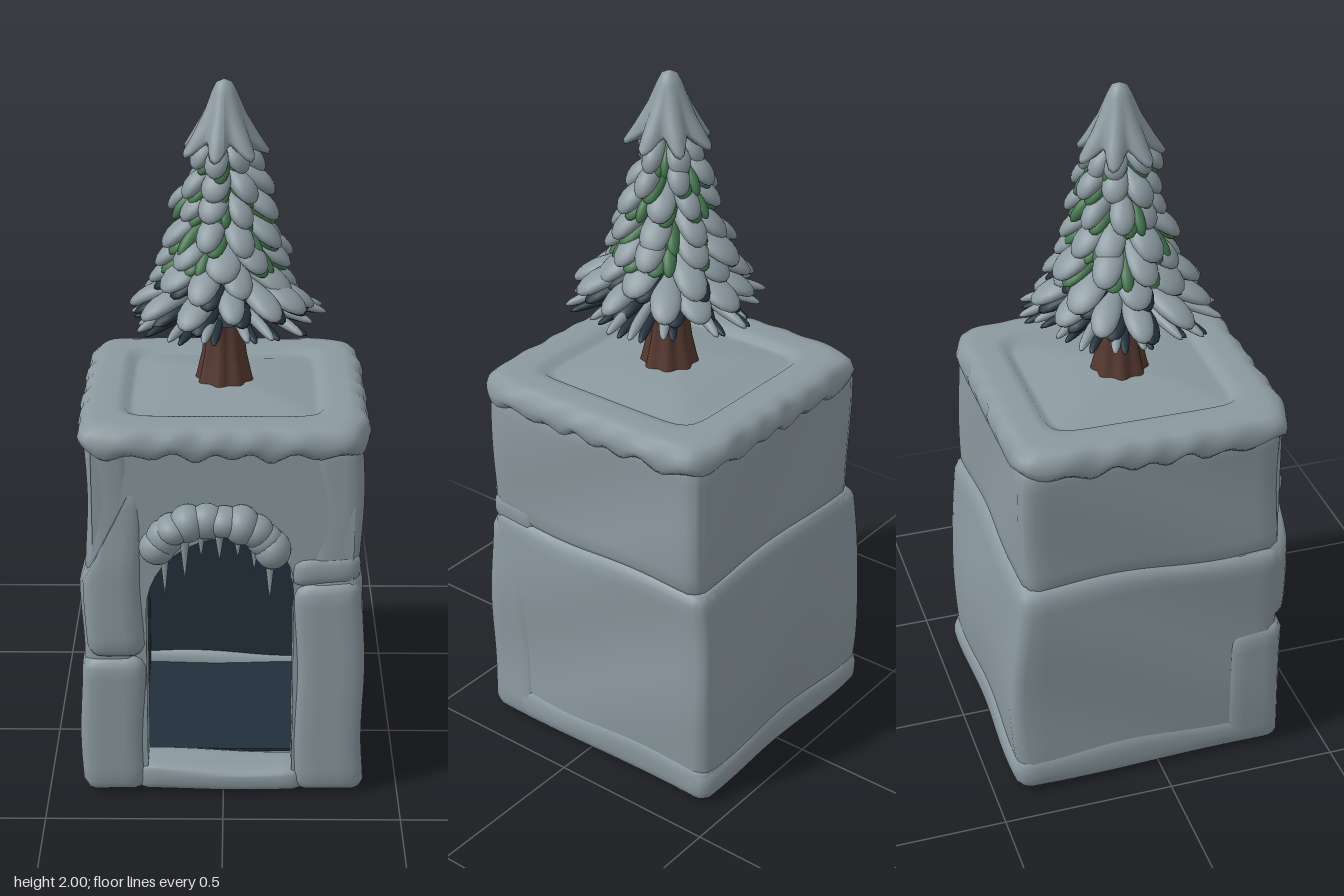
import * as THREE from 'three';
import { mergeVertices } from 'three/addons/utils/BufferGeometryUtils.js';

const material = (name, color, side = THREE.FrontSide) =>
  Object.assign(new THREE.MeshStandardMaterial({ color, side }), { name });

export function createModel() {
  const snow = material('snowy grey', 0x8b999f);
  const snowSheet = material('snow sheet grey', 0x8b999f, THREE.DoubleSide);
  const dark = material('dark hollow', 0x22303b);
  const green = material('needle green', 0x44754f);
  const bark = material('bark brown', 0x553830);

  const model = new THREE.Group();
  model.name = 'snowyTreePedestal';
  const add = (name, geometry, mat, parent = model) => {
    const mesh = new THREE.Mesh(geometry, mat);
    mesh.name = name;
    parent.add(mesh);
    return mesh;
  };
  let seed = 11;
  const rand = () => (seed = (seed * 16807) % 2147483647) / 2147483647;
  const spread = (a) => (rand() - 0.5) * 2 * a;

  // Soft, slightly lumpy block between two corners
  function stone(name, x0, x1, y0, y1, z0, z1, radius = 0.04, warp) {
    const w = x1 - x0, h = y1 - y0, d = z1 - z0;
    const n = (s) => Math.max(6, Math.round(s / 0.035));
    let g = new THREE.BoxGeometry(w, h, d, n(w), n(h), n(d));
    g.deleteAttribute('normal');
    g.deleteAttribute('uv');
    g = mergeVertices(g);
    const p = g.attributes.position;
    const v = new THREE.Vector3(), c = new THREE.Vector3();
    const inner = new THREE.Vector3(w / 2 - radius, h / 2 - radius, d / 2 - radius);
    for (let i = 0; i < p.count; i++) {
      v.fromBufferAttribute(p, i);
      c.copy(v).clamp(inner.clone().negate(), inner);
      v.sub(c).setLength(radius).add(c);
      v.add(new THREE.Vector3((x0 + x1) / 2, (y0 + y1) / 2, (z0 + z1) / 2));
      const { x, y, z } = v;
      v.x += 0.005 * Math.sin(y * 13 + z * 7);
      v.y += y > 0.06 ? 0.008 * Math.sin(x * 9 + z * 11) : 0;
      v.z += 0.005 * Math.sin(x * 11 + y * 8 + 1);
      if (warp) warp(v);
      p.setXYZ(i, v.x, v.y, v.z);
    }
    g.computeVertexNormals();
    return add(name, g, snow);
  }

  // Side and back walls in two courses, the lower one bulging
  const backBulge = (v) => { if (v.z < -0.36) v.z -= 0.028 * Math.sin(Math.min(1, v.y / 0.66) * Math.PI); };
  stone('lowerRightWall', 0.235, 0.392, 0.01, 0.70, -0.41, 0.36, 0.04, backBulge);
  stone('upperRightWall', 0.235, 0.382, 0.67, 1.10, -0.388, 0.36);
  stone('lowerLeftWall', -0.395, -0.245, 0.01, 0.70, -0.41, 0.36, 0.04, backBulge);
  stone('upperLeftWall', -0.378, -0.245, 0.67, 1.10, -0.388, 0.36);
  stone('lowerBackWall', -0.385, 0.385, 0.01, 0.70, -0.41, -0.31, 0.04, backBulge);
  stone('upperBackWall', -0.37, 0.375, 0.67, 1.10, -0.392, -0.31);

  // Foot ledge around the bottom
  stone('backFoot', -0.4, 0.4, 0, 0.12, -0.435, -0.28, 0.045);
  for (const s of [-1, 1]) {
    stone('sideFoot', s > 0 ? 0.26 : -0.402, s > 0 ? 0.4 : -0.26, 0, 0.13, -0.43, 0.37, 0.045);
  }
  stone('doorSill', -0.25, 0.23, 0.005, 0.085, 0.24, 0.37, 0.03);

  // Front wall with an arched doorway
  const wall = new THREE.Shape();
  wall.moveTo(-0.36, 0.03).lineTo(0.36, 0.03).lineTo(0.36, 1.08).lineTo(-0.36, 1.08).closePath();
  const door = new THREE.Path();
  door.moveTo(-0.215, 0.06).lineTo(-0.215, 0.58);
  door.bezierCurveTo(-0.21, 0.85, 0.195, 0.88, 0.195, 0.66);
  door.lineTo(0.195, 0.06).closePath();
  wall.holes.push(door);
  const front = new THREE.ExtrudeGeometry(wall, { depth: 0.12, bevelEnabled: false, curveSegments: 20 });
  add('frontWall', front.translate(0, 0, 0.235), snow);

  // Jamb stones beside the doorway
  stone('leftLowerJamb', -0.403, -0.22, 0.005, 0.435, 0.2, 0.378, 0.04);
  stone('leftUpperJamb', -0.386, -0.222, 0.43, 0.95, 0.2, 0.385, 0.045, (v) => {
    if (v.y > 0.68) v.x = Math.max(v.x, -0.386 + (v.y - 0.68) * 0.5);
    if (v.z > 0.3) v.z -= Math.max(0, v.y - 0.72) * 0.1;
  });
  stone('rightLowerJamb', 0.198, 0.402, 0.005, 0.67, 0.2, 0.376, 0.04, (v) => {
    if (v.x > 0.3) v.x -= 0.02 * v.y;
  });
  stone('rightUpperJamb', 0.19, 0.385, 0.655, 0.75, 0.2, 0.366, 0.035);

  // Dark hollow inside, open towards the door
  const hollow = new THREE.Group();
  hollow.name = 'hollow';
  model.add(hollow);
  for (const [w, h, d, x, y, z] of [
    [0.008, 0.9, 0.54, -0.238, 0.52, -0.035], [0.008, 0.9, 0.54, 0.225, 0.52, -0.035],
    [0.47, 0.9, 0.008, -0.005, 0.52, -0.3], [0.47, 0.008, 0.56, -0.005, 0.078, -0.03],
    [0.47, 0.008, 0.54, -0.005, 0.96, -0.035],
  ]) add('hollowPanel', new THREE.BoxGeometry(w, h, d).translate(x, y, z), dark, hollow);

  // Recessed base plate, with a dark gap around it
  add('basePlate', new THREE.BoxGeometry(0.44, 0.03, 0.46).translate(0, 0.055, -0.03), snow);
  const spot = add('baseHole', new THREE.CircleGeometry(0.03, 16).rotateX(Math.PI / 2), dark);
  spot.scale.z = 1.8;
  spot.position.set(0.03, 0.038, 0.06);

  // Snow cap: rounded-square rings with a scalloped hem and a sunken middle
  const rings = [[0.36, 1.07, 1], [0.385, 1.05, 1], [0.398, 1.063, 0.9], [0.401, 1.085, 0.4], [0.395, 1.112, 0],
    [0.378, 1.129, 0], [0.35, 1.135, 0], [0.30, 1.135, 0], [0.278, 1.131, 0], [0.266, 1.118, 0],
    [0.25, 1.116, 0], [0.2, 1.128, 0], [0.1, 1.142, 0], [0.001, 1.145, 0]];
  const N = 144, pos = [], index = [];
  rings.forEach(([r, y, wave], j) => {
    for (let i = 0; i < N; i++) {
      const a = (i / N) * Math.PI * 2, c = Math.cos(a), s = Math.sin(a);
      const k = r / Math.pow(Math.abs(c) ** 9 + Math.abs(s) ** 9, 1 / 9);
      const ripple = Math.sin(a * 24) + 0.5 * Math.sin(a * 13 + 1);
      const out = 1 + 0.008 * ripple * (j > 0 && j < 6 ? 1 : 0);
      pos.push(k * c * out, y + wave * 0.011 * ripple, k * s * out - 0.005);
      if (j) {
        const b = j * N + i, b2 = j * N + ((i + 1) % N);
        index.push(b - N, b, b2 - N, b, b2, b2 - N);
      }
    }
  });
  const cap = new THREE.BufferGeometry();
  cap.setAttribute('position', new THREE.Float32BufferAttribute(pos, 3));
  cap.setIndex(index);
  cap.computeVertexNormals();
  add('snowCap', cap, snowSheet);

  // Snow hood over the door, with icicles
  const hood = new THREE.Group();
  hood.name = 'snowHood';
  model.add(hood);
  const arch = new THREE.CatmullRomCurve3([[-0.18, 0.79], [-0.13, 0.85], [-0.02, 0.868], [0.08, 0.845], [0.135, 0.785]]
    .map(([x, y]) => new THREE.Vector3(x, y, 0.385)));
  for (let i = 0; i <= 9; i++) {
    const lump = add('hoodLump', new THREE.SphereGeometry(0.054, 20, 14), snow, hood);
    lump.position.copy(arch.getPoint(i / 9));
    lump.scale.set(0.95, 0.9 + 0.12 * Math.sin(i * 2.3), 1 + 0.12 * Math.sin(i * 1.7 + 4));
  }
  for (const [x, top, tip, r] of [[-0.16, 0.8, 0.64, 0.016], [-0.105, 0.84, 0.69, 0.017], [-0.06, 0.84, 0.76, 0.013],
    [-0.01, 0.85, 0.75, 0.016], [0.04, 0.83, 0.76, 0.013], [0.085, 0.82, 0.72, 0.015], [0.128, 0.79, 0.63, 0.018]]) {
    const cone = new THREE.ConeGeometry(r, top - tip, 10).rotateX(Math.PI);
    add('icicle', cone.translate(x, (top + tip) / 2, 0.395), snow, hood);
  }

  // Trunk with flared, ribbed roots
  const trunk = new THREE.LatheGeometry([[0.085, 1.11], [0.073, 1.16], [0.06, 1.22], [0.05, 1.3], [0.045, 1.42]]
    .map(([r, y]) => new THREE.Vector2(r, y)), 48);
  const tp = trunk.attributes.position;
  for (let i = 0; i < tp.count; i++) {
    const k = 1 + 0.08 * Math.sin(Math.atan2(tp.getZ(i), tp.getX(i)) * 8);
    tp.setXYZ(i, tp.getX(i) * k, tp.getY(i), tp.getZ(i) * k);
  }
  trunk.computeVertexNormals();
  add('trunk', trunk, bark);

  // Tree core hidden between the boughs
  const tree = new THREE.Group();
  tree.name = 'tree';
  model.add(tree);
  add('treeCore', new THREE.ConeGeometry(0.13, 0.5, 20).translate(0, 1.64, 0), green, tree);
  add('treeUnderside', new THREE.CylinderGeometry(0.1, 0.17, 0.05, 20).translate(0, 1.375, 0), dark, tree);

  // Bough: a drooping petal reaching out to radius r
  const petal = new THREE.SphereGeometry(1, 18, 12);
  const pp = petal.attributes.position;
  for (let i = 0; i < pp.count; i++) {
    const x = pp.getX(i);
    pp.setXYZ(i, x, pp.getY(i) - 0.5 * x * Math.abs(x), pp.getZ(i) * (0.85 + 0.2 * x));
  }
  petal.computeVertexNormals();
  function bough(name, mat, angle, r, y, len, width, thick, droop) {
    const arm = new THREE.Group();
    arm.rotation.y = angle;
    tree.add(arm);
    const mesh = add(name, petal, mat, arm);
    mesh.scale.set(len / 2, thick / 2, width / 2);
    mesh.position.set(r - len * 0.46, y, 0);
    mesh.rotation.z = -droop;
  }

  // Tiers: count, reach, height, length, width, droop, under-bough material
  const tiers = [
    [12, 0.255, 1.415, 0.2, 0.1, 0.3, dark], [9, 0.215, 1.475, 0.19, 0.11, 0.42, dark],
    [9, 0.195, 1.535, 0.17, 0.1, 0.45, green], [8, 0.175, 1.6, 0.16, 0.095, 0.5, green],
    [8, 0.15, 1.665, 0.14, 0.085, 0.5, green], [7, 0.13, 1.73, 0.125, 0.08, 0.55, green],
    [7, 0.112, 1.795, 0.11, 0.07, 0.6, green],
  ];
  tiers.forEach(([count, r, y, len, width, droop, under], t) => {
    for (let i = 0; i < count; i++) {
      const a = (i / count) * Math.PI * 2 + t * 0.9 + spread(0.12);
      const reach = r + spread(0.02), h = y + spread(0.014);
      bough('snowBough', snow, a, reach, h, len, width * (1 + spread(0.15)), 0.052, droop);
      bough('underBough', under, a + 0.12, reach - 0.015, h - 0.02, len, width * 0.8, 0.04, droop);
      if (under === green && i % 2) {
        bough('greenBough', green, a + Math.PI / count, reach - 0.012, h - 0.012, len, width * 0.5, 0.045, droop + 0.1);
      }
    }
  });

  // Thin fringe of twigs under the lowest tier
  for (let i = 0; i < 18; i++) {
    const a = (i / 18) * Math.PI * 2 + spread(0.1), r = 0.27 + spread(0.02);
    bough('snowTwig', snow, a, r, 1.365, 0.2, 0.036, 0.032, 0.22);
    bough('darkTwig', dark, a + 0.1, r - 0.01, 1.352, 0.2, 0.034, 0.026, 0.18);
  }

  // Star-shaped snow tip
  const tip = new THREE.LatheGeometry([[0.0, 1.83], [0.06, 1.825], [0.098, 1.812], [0.1, 1.825], [0.08, 1.865],
    [0.055, 1.915], [0.035, 1.965], [0.022, 1.99], [0.0, 2.0]].map(([r, y]) => new THREE.Vector2(r, y)), 56);
  const sp = tip.attributes.position;
  for (let i = 0; i < sp.count; i++) {
    const y = sp.getY(i), low = THREE.MathUtils.clamp((1.96 - y) / 0.13, 0, 1);
    const lobe = Math.cos(Math.atan2(sp.getZ(i), sp.getX(i)) * 7);
    const k = 1 + 0.24 * low * lobe;
    sp.setXYZ(i, sp.getX(i) * k, y - 0.02 * low * lobe, sp.getZ(i) * k);
  }
  tip.computeVertexNormals();
  add('treeTip', tip, snow, tree);

  return model;
}
